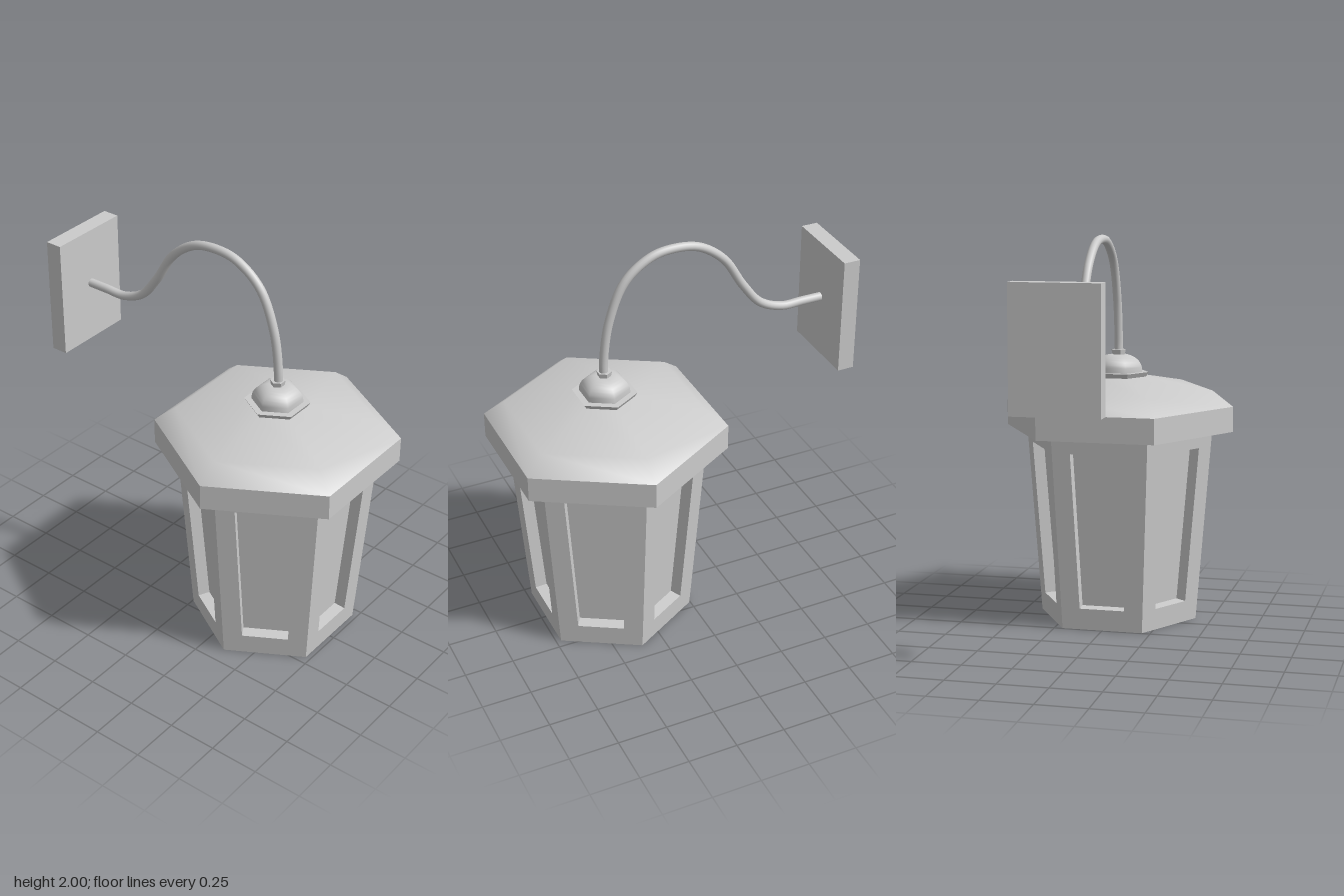
import * as THREE from 'three';

const flat = new THREE.MeshStandardMaterial({ color: 0xcccccc, flatShading: true });
const smooth = new THREE.MeshStandardMaterial({ color: 0xcccccc, side: THREE.DoubleSide });
const HEX = Math.PI / 6; // puts hexagon corners on the x axis
const APO = Math.cos(HEX); // apothem of a unit hexagon

function add(parent, name, geometry, material = flat) {
  const mesh = new THREE.Mesh(geometry, material);
  mesh.name = name;
  parent.add(mesh);
  return mesh;
}

// six-sided frustum between two heights
function hexPrism(rBottom, rTop, y0, y1) {
  return new THREE.CylinderGeometry(rTop, rBottom, y1 - y0, 6, 1, false, HEX).translate(0, (y0 + y1) / 2, 0);
}

// six-sided smooth surface from [radius, height] points
function hexLathe(points) {
  return new THREE.LatheGeometry(points.map(p => new THREE.Vector2(...p)), 6, HEX);
}

function hexPoints(r) {
  return Array.from({ length: 6 }, (_, i) =>
    new THREE.Vector2(r * Math.cos(i * Math.PI / 3), r * Math.sin(i * Math.PI / 3)));
}

function trapezoid(halfBottom, halfTop, y0, y1) {
  return [[-halfBottom, y0], [halfBottom, y0], [halfTop, y1], [-halfTop, y1]].map(p => new THREE.Vector2(...p));
}

export function createModel() {
  const model = new THREE.Group();
  model.name = 'wallLantern';

  const lantern = new THREE.Group();
  lantern.name = 'lantern';
  lantern.position.z = 0.365;
  model.add(lantern);

  // Tapered window frames around the body
  const rBottom = 0.415, rTop = 0.493, height = 0.99, depth = 0.06;
  const lean = Math.atan((rTop - rBottom) * APO / height);
  const frame = new THREE.Shape(trapezoid(rBottom / 2, rTop / 2, 0, height / Math.cos(lean)));
  frame.holes.push(new THREE.Path(trapezoid(0.115, 0.15, 0.11, 0.915)));
  const frameGeometry = new THREE.ExtrudeGeometry(frame, { depth, bevelEnabled: false })
    .translate(0, 0, -depth).rotateX(lean).translate(0, 0, rBottom * APO);
  for (let i = 0; i < 6; i++) {
    add(lantern, 'windowFrame', frameGeometry).rotation.y = i * Math.PI / 3;
  }

  // Recessed panes, closed below by the floor
  const inset = depth / APO;
  add(lantern, 'panes', hexPrism(rBottom - inset + 0.004, rTop - inset, 0.05, height));

  // Bottom ring around the recessed floor
  const ring = new THREE.Shape(hexPoints(rBottom - 0.002));
  ring.holes.push(new THREE.Path(hexPoints(0.32)));
  add(lantern, 'bottomRing', new THREE.ExtrudeGeometry(ring, { depth: 0.055, bevelEnabled: false }).rotateX(-Math.PI / 2));

  // Roof
  add(lantern, 'roofLip', hexPrism(0.54, 0.54, 0.985, 1.0));
  add(lantern, 'roofRim', hexPrism(0.6, 0.6, 0.99, 1.12));
  add(lantern, 'roof', hexLathe([[0.6, 1.12], [0.495, 1.2], [0.15, 1.262], [0, 1.28]]), smooth);

  // Cap on the roof
  add(lantern, 'capBase', hexPrism(0.14, 0.16, 1.255, 1.286));
  const dome = [[0.125, 1.284]];
  for (let i = 1; i <= 8; i++) {
    const a = i / 8 * Math.PI / 2;
    dome.push([0.035 + 0.09 * Math.cos(a), 1.295 + 0.08 * Math.sin(a)]);
  }
  dome.push([0, 1.375]);
  add(lantern, 'capDome', hexLathe(dome), smooth);
  add(lantern, 'collar', hexPrism(0.032, 0.038, 1.37, 1.4));

  // Curved arm from the cap to the wall plate, as [z, y] points
  const path = [[0.368, 1.37], [0.367, 1.45], [0.335, 1.66], [0.25, 1.857], [0.117, 1.957], [0, 1.978],
    [-0.133, 1.957], [-0.265, 1.862], [-0.37, 1.698], [-0.467, 1.58], [-0.585, 1.53], [-0.7, 1.53], [-0.81, 1.53]];
  const curve = new THREE.CatmullRomCurve3(path.map(([z, y]) => new THREE.Vector3(0, y, z)));
  add(model, 'arm', new THREE.TubeGeometry(curve, 80, 0.022, 14), smooth);

  // Wall plate
  add(model, 'wallPlate', new THREE.BoxGeometry(0.43, 0.605, 0.085)).position.set(0, 1.518, -0.8475);

  return model;
}
